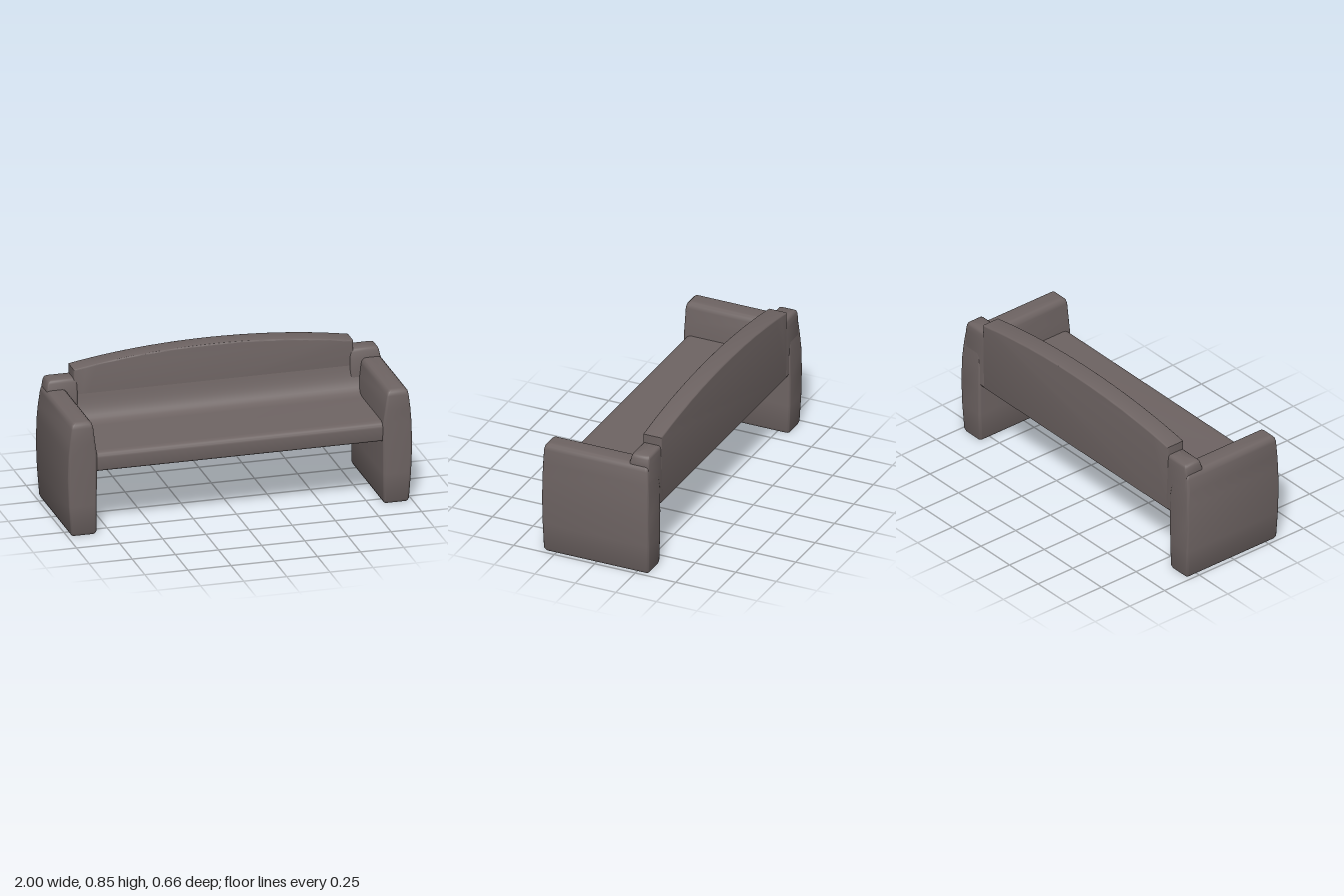
import * as THREE from 'three';
import { toCreasedNormals } from 'three/addons/utils/BufferGeometryUtils.js';

// Outline of a rounded rectangle in x/z
function roundedRing(x0, x1, z0, z1, r) {
  const pts = [];
  const corners = [[x1 - r, z1 - r], [x0 + r, z1 - r], [x0 + r, z0 + r], [x1 - r, z0 + r]];
  corners.forEach(([cx, cz], k) => {
    for (let i = 0; i <= 4; i++) {
      const a = (k + i / 4) * Math.PI / 2;
      pts.push([cx + r * Math.cos(a), cz + r * Math.sin(a)]);
    }
  });
  return pts;
}

// Skin over rounded rectangles [y, x0, x1, z0, z1, r], closed at both ends
function loft(sections, side) {
  const rings = sections.map(([y, x0, x1, z0, z1, r]) =>
    roundedRing(side > 0 ? x0 : -x1, side > 0 ? x1 : -x0, z0, z1, r).map(([x, z]) => [x, y, z]));
  const centre = (ring) => {
    const c = [0, 1, 2].map((k) => ring.reduce((s, p) => s + p[k], 0) / ring.length);
    return ring.map(() => c);
  };
  rings.unshift(centre(rings[0]));
  rings.push(centre(rings[rings.length - 1]));
  const n = rings[0].length, index = [];
  for (let j = 0; j < rings.length - 1; j++) {
    for (let i = 0; i < n; i++) {
      const a = j * n + i, b = j * n + (i + 1) % n, c = b + n, d = a + n;
      if (j > 0) index.push(a, d, b);
      if (j < rings.length - 2) index.push(b, d, c);
      if (j === 0) index.push(a, d, c);
    }
  }
  const g = new THREE.BufferGeometry();
  g.setAttribute('position', new THREE.Float32BufferAttribute(rings.flat(2), 3));
  g.setIndex(index);
  return toCreasedNormals(g, 0.9);
}

export function createModel() {
  const group = new THREE.Group();
  const upholstery = new THREE.MeshStandardMaterial({ color: 0x6e6463 });
  upholstery.name = 'warm grey upholstery';
  const add = (name, geometry) => {
    const mesh = new THREE.Mesh(geometry, upholstery);
    mesh.name = name;
    group.add(mesh);
  };

  // Side panels: recessed underside, bulging outer face, tapered armrest
  const panel = [
    [0.04, 0.86, 0.955, -0.29, 0.29, 0.01],
    [0.008, 0.855, 0.96, -0.295, 0.295, 0.01],
    [0.004, 0.838, 0.972, -0.316, 0.318, 0.015],
    [0.02, 0.83, 0.98, -0.322, 0.328, 0.015],
    [0.18, 0.83, 0.992, -0.327, 0.33, 0.015],
    [0.34, 0.829, 0.998, -0.328, 0.331, 0.015],
    [0.48, 0.829, 0.994, -0.326, 0.33, 0.015],
    [0.56, 0.84, 0.988, -0.321, 0.329, 0.015],
    [0.64, 0.85, 0.978, -0.316, 0.328, 0.015],
    [0.662, 0.856, 0.973, -0.312, 0.323, 0.015],
    [0.674, 0.868, 0.96, -0.305, 0.312, 0.015],
    [0.676, 0.88, 0.948, -0.295, 0.3, 0.01],
  ];
  // Corner posts between armrest and backrest
  const post = [
    [0.38, 0.79, 0.96, -0.322, -0.19, 0.012],
    [0.6, 0.79, 0.965, -0.32, -0.19, 0.012],
    [0.675, 0.79, 0.967, -0.318, -0.196, 0.012],
    [0.71, 0.79, 0.961, -0.316, -0.205, 0.012],
    [0.724, 0.79, 0.955, -0.313, -0.209, 0.012],
    [0.73, 0.79, 0.943, -0.304, -0.218, 0.012],
  ];
  for (const [label, side] of [['left', 1], ['right', -1]]) {
    add(label + 'SidePanel', loft(panel, side));
    add(label + 'CornerPost', loft(post, side));
  }

  // Seat section with rounded front edge and a sweep up into the backrest
  const seat = new THREE.Shape();
  seat.moveTo(-0.315, 0.37);
  seat.lineTo(0.295, 0.37);
  seat.quadraticCurveTo(0.31, 0.37, 0.312, 0.385);
  seat.lineTo(0.315, 0.45);
  seat.quadraticCurveTo(0.312, 0.482, 0.275, 0.484);
  seat.lineTo(-0.09, 0.484);
  seat.bezierCurveTo(-0.16, 0.484, -0.185, 0.52, -0.207, 0.64);
  seat.lineTo(-0.315, 0.64);
  seat.closePath();
  const seatGeometry = new THREE.ExtrudeGeometry(seat, { depth: 1.7, bevelEnabled: false, curveSegments: 10 });
  seatGeometry.rotateY(-Math.PI / 2).translate(0.85, 0, 0);
  add('seat', toCreasedNormals(seatGeometry, 0.7));

  // Backrest with an arched top
  const back = new THREE.Shape();
  back.moveTo(-0.802, 0.378);
  back.lineTo(0.802, 0.378);
  back.lineTo(0.802, 0.775);
  back.bezierCurveTo(0.3, 0.865, -0.3, 0.865, -0.802, 0.775);
  back.closePath();
  const backGeometry = new THREE.ExtrudeGeometry(back, {
    depth: 0.099, bevelThickness: 0.008, bevelSize: 0.008, bevelSegments: 3, curveSegments: 24,
  });
  backGeometry.translate(0, 0, -0.313);
  add('backrest', toCreasedNormals(backGeometry, 0.7));

  return group;
}
